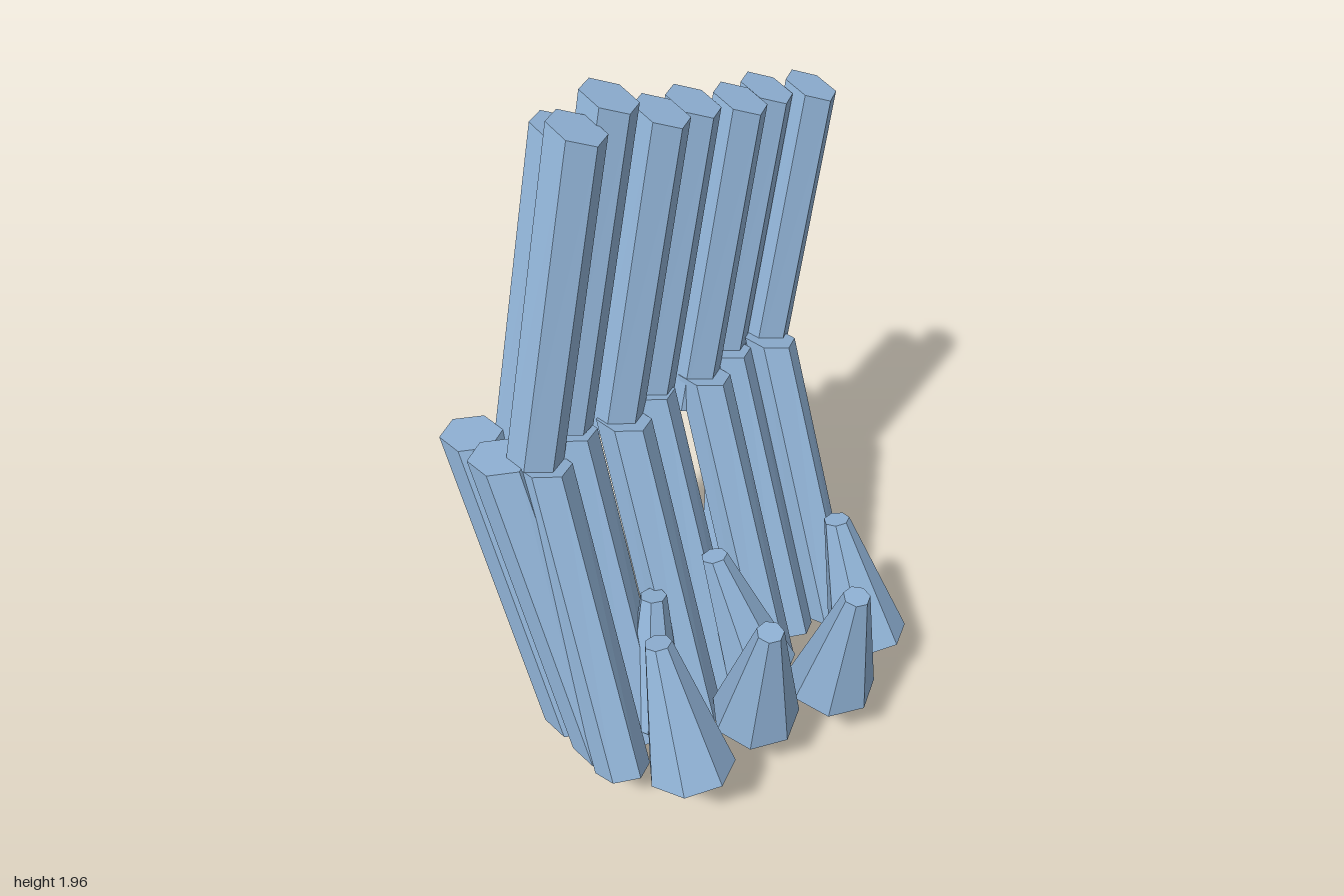
import * as THREE from 'three';

// Leaning prism between two centres. Each cap is a horizontal polygon tilted by [slope along x, slope along z].
function prism(top, bottom, rTop, rBottom, capTop, capBottom, sides = 6, turn = Math.PI / 2) {
  const geo = new THREE.CylinderGeometry(rTop, rBottom, 1, sides, 1, false, turn).toNonIndexed();
  const p = geo.attributes.position;
  for (let i = 0; i < p.count; i++) {
    const up = p.getY(i) > 0;
    const c = up ? top : bottom;
    const s = up ? capTop : capBottom;
    const x = p.getX(i), z = p.getZ(i);
    p.setXYZ(i, c[0] + x, c[1] + s[0] * x + s[1] * z, c[2] + z);
  }
  geo.computeVertexNormals();
  return geo;
}

export function createModel() {
  const model = new THREE.Group();
  model.name = 'columnCluster';
  const stone = new THREE.MeshStandardMaterial({ color: 0x8fb1d4, flatShading: true });
  stone.name = 'blue stone';

  const group = (name) => {
    const g = new THREE.Group();
    g.name = name;
    model.add(g);
    return g;
  };
  const add = (parent, name, geo) => {
    const m = new THREE.Mesh(geo, stone);
    m.name = name;
    parent.add(m);
  };

  // Upper columns, leaning back: top centre x, y, z
  const upper = group('upperColumns');
  [
    [-0.31, 1.925, 0.255], [-0.35, 1.955, 0.11], [-0.32, 1.875, -0.045],
    [-0.35, 1.85, -0.19], [-0.32, 1.82, -0.345], [-0.37, 1.79, -0.505],
    [-0.33, 1.765, -0.655], [-0.455, 1.86, 0.2], [-0.465, 1.7, -0.575],
  ].forEach(([x, y, z]) => {
    const drop = 0.9;
    add(upper, 'upperColumn', prism([x, y, z], [x + 0.045, y - drop, z + 0.27],
      0.08, 0.08, [-0.33, 0.2], [0, 0.25]));
  });

  // Lower columns, reaching forward and to the side: top x, z, height
  const lower = group('lowerColumns');
  [
    [-0.235, 0.52, 1.025], [-0.235, 0.22, 1.025], [-0.235, -0.105, 1.025], [-0.235, -0.395, 1.025],
    [-0.29, 0.38, 1.045], [-0.29, 0.075, 1.035], [-0.29, -0.25, 1.03],
  ].forEach(([x, z, y]) => {
    add(lower, 'lowerColumn', prism([x, y, z], [x + 0.405, 0.17, z + 0.115],
      0.082, 0.082, [0, 0.2], [0.3, 0.2]));
  });

  // Pair at the front end, leaning sideways only
  [[-0.465, 0.595, 0.09], [-0.32, 0.605, 0.09]].forEach(([x, z, r]) => {
    add(lower, 'endColumn', prism([x, 1.05, z], [x + 0.39, 0.175, z + 0.02],
      r, r, [-0.03, 0.03], [-0.05, 0.2]));
  });

  // Pair at the back, set lower
  const rear = group('rearColumns');
  [
    [[-0.43, 0.89, -0.415], [-0.125, 0.06, -0.075]],
    [[-0.285, 0.88, -0.455], [0.02, 0.06, -0.145]],
  ].forEach(([t, b]) => {
    add(rear, 'rearColumn', prism(t, b, 0.08, 0.08, [0.2, 0.35], [0.15, 0.5]));
  });

  // Tapered stubs: tip centre, base centre, base radius
  const stubs = group('taperedStubs');
  [
    [[0.205, 0.625, -0.245], [0.355, 0.245, -0.245], 0.125],
    [[0.495, 0.655, -0.005], [0.415, 0.235, -0.01], 0.135],
    [[0.415, 0.65, 0.27], [0.335, 0.235, 0.245], 0.135],
    [[0.205, 0.625, 0.505], [0.355, 0.245, 0.53], 0.13],
    [[0.045, 0.61, 0.13], [0.2, 0.235, 0.09], 0.115],
    [[0.035, 0.6, 0.37], [0.115, 0.22, 0.46], 0.095],
  ].forEach(([t, b, r]) => {
    const h = t[1] - b[1];
    const s = [-0.55 * (t[0] - b[0]) / h, -0.55 * (t[2] - b[2]) / h];
    add(stubs, 'taperedStub', prism(t, b, 0.04, r, s, s, 7));
  });

  return model;
}
